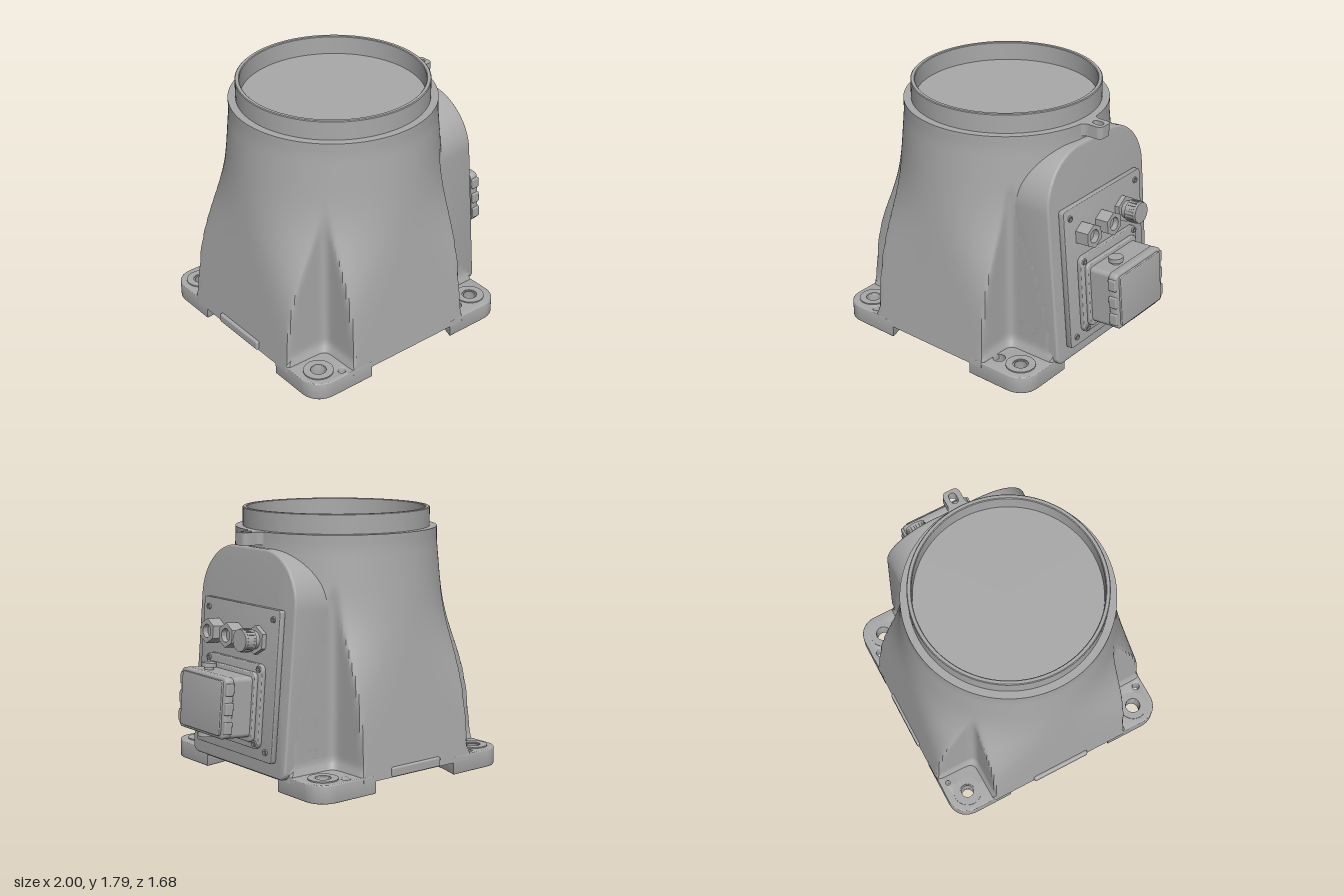
import * as THREE from 'three';
import { toCreasedNormals } from 'three/addons/utils/BufferGeometryUtils.js';
import { RoundedBoxGeometry } from 'three/addons/geometries/RoundedBoxGeometry.js';

const castGrey = new THREE.MeshStandardMaterial({ color: 0xa9a9a9 });
castGrey.name = 'cast grey';

const CX = -0.16; // axis of the tapered body

function add(parent, name, geometry, x = 0, y = 0, z = 0) {
  const mesh = new THREE.Mesh(geometry, castGrey);
  mesh.name = name;
  mesh.position.set(x, y, z);
  parent.add(mesh);
  return mesh;
}

function circleHole(x, y, r) {
  return new THREE.Path().absarc(x, y, r, 0, Math.PI * 2, true);
}

function extrude(shape, depth, bevel = 0) {
  const g = new THREE.ExtrudeGeometry(shape, {
    depth: depth - 2 * bevel, bevelEnabled: bevel > 0, bevelSize: bevel,
    bevelThickness: bevel, bevelOffset: -bevel, bevelSegments: 3, curveSegments: 20,
  });
  g.translate(0, 0, bevel);
  return toCreasedNormals(g, 0.6);
}

// Rectangle with separate bottom and top corner radii
function roundedRect(x0, y0, x1, y1, rb, rt = rb) {
  const s = new THREE.Shape();
  s.moveTo(x0 + rb, y0).lineTo(x1 - rb, y0);
  s.absarc(x1 - rb, y0 + rb, rb, -Math.PI / 2, 0);
  s.absarc(x1 - rt, y1 - rt, rt, 0, Math.PI / 2);
  s.absarc(x0 + rt, y1 - rt, rt, Math.PI / 2, Math.PI);
  s.absarc(x0 + rb, y0 + rb, rb, Math.PI, Math.PI * 1.5);
  return s;
}

// Plan shape (x, z) made into a slab whose top is at the given height
function slab(shape, top, height, bevel = 0) {
  return extrude(shape, height, bevel).rotateX(Math.PI / 2).translate(0, top, 0);
}

function smoothMin(a, b, k) {
  const h = Math.max(k - Math.abs(a - b), 0) / k;
  return Math.min(a, b) - h * h * k * 0.25;
}

// Square-to-round taper, with a pocket cut into each corner
function bodyRadius(angle, y) {
  const c = Math.cos(angle), s = Math.sin(angle);
  const drop = Math.max(0, 1.57 - y) / 1.45;
  const t = Math.min(1, Math.max(0, (y - 0.1) / 1.3));
  const n = 2 + 10 * (1 - t) ** 3;
  const ax = 0.69 + 0.13 * drop, az = 0.69 + 0.139 * drop;
  const outer = (Math.abs(c / ax) ** n + Math.abs(s / az) ** n) ** (-1 / n);
  const px = (c < 0 ? 0.49 : 0.45) / Math.max(Math.abs(c), 1e-3);
  const pz = 0.52 / Math.max(Math.abs(s), 1e-3);
  let pocket = -smoothMin(-px, -pz, 0.08);
  pocket += 8 * Math.max(0, 0.2 - Math.max(y, 0.125)) ** 2 + 0.3 * Math.max(0, y - 1.25);
  return smoothMin(outer, pocket, 0.02);
}

function bodyGeometry() {
  const seg = 288, rows = 44, y0 = 0.085, y1 = 1.66;
  const pos = [], index = [];
  for (let i = 0; i <= rows; i++) {
    const u = i / rows;
    const y = y0 + (y1 - y0) * (0.3 * u * u + 0.7 * u);
    for (let j = 0; j < seg; j++) {
      const a = (j / seg) * Math.PI * 2, r = bodyRadius(a, y);
      pos.push(CX + r * Math.cos(a), y, r * Math.sin(a));
    }
  }
  const bottom = pos.length / 3, top = bottom + 1, last = rows * seg;
  pos.push(CX, y0, 0, CX, y1, 0);
  for (let j = 0; j < seg; j++) {
    const k = (j + 1) % seg;
    for (let i = 0; i < rows; i++) {
      const a = i * seg + j, b = i * seg + k;
      index.push(a, a + seg, b, b, a + seg, b + seg);
    }
    index.push(bottom, j, k, top, last + k, last + j);
  }
  const g = new THREE.BufferGeometry();
  g.setAttribute('position', new THREE.Float32BufferAttribute(pos, 3));
  g.setIndex(index);
  return toCreasedNormals(g, 0.6);
}

function addFoot(root, sx, sz) {
  const cx = sx < 0 ? -0.98 : 0.66, cz = sz * 0.83;
  const p = (a, b) => [cx - sx * a, cz - sz * b];
  const s = new THREE.Shape();
  s.moveTo(...p(0.47, 0)).lineTo(...p(0.15, 0));
  s.bezierCurveTo(...p(0.06, 0), ...p(0, 0.06), ...p(0, 0.15));
  s.lineTo(...p(0, 0.43)).lineTo(...p(0.2, 0.4)).lineTo(...p(0.38, 0.34)).lineTo(...p(0.44, 0.1));
  const bx = sx < 0 ? -0.84 : 0.51, bz = sz * 0.68;
  s.holes.push(circleHole(bx, bz, 0.05));
  if (sx < 0) s.holes.push(circleHole(-0.72, sz * 0.775, 0.025));
  else if (sz < 0) s.holes.push(circleHole(0.39, -0.765, 0.03));
  else s.holes.push(circleHole(0.35, 0.71, 0.05));
  add(root, 'foot', slab(s, 0.125, 0.125, 0.008));
  const ring = new THREE.Shape().absarc(bx, bz, 0.1, 0, Math.PI * 2);
  ring.holes.push(circleHole(bx, bz, 0.052));
  add(root, 'footBoltSeat', slab(ring, 0.133, 0.012));
}

// Cylinder or prism pointing out of the panel
function peg(r, length, sides = 24, rTop = r) {
  const g = new THREE.CylinderGeometry(rTop, r, length, sides).rotateX(Math.PI / 2);
  return toCreasedNormals(g.translate(0, 0, length / 2), sides > 12 ? 0.6 : 0.1);
}

function hexShape(r) {
  const s = new THREE.Shape();
  for (let i = 0; i < 6; i++) {
    const a = Math.PI / 2 + (i * Math.PI) / 3;
    s[i ? 'lineTo' : 'moveTo'](r * Math.cos(a), r * Math.sin(a));
  }
  return s;
}

function addScrews(parent, xs, ys, z) {
  for (const x of xs) for (const y of ys) {
    const s = new THREE.Shape().absarc(0, 0, 0.021, 0, Math.PI * 2);
    s.holes.push(circleHole(0, 0, 0.012));
    add(parent, 'screw', extrude(s, 0.01), x, y, z);
  }
}

// Slanted connector face: local x across, y up the slope, z outward
function addConnectorSide(root) {
  const side = new THREE.Group();
  side.name = 'connectorSide';
  side.position.set(0.7, 0.1, 0);
  side.rotation.set(-0.0856, Math.PI / 2, 0, 'YXZ');
  root.add(side);

  add(side, 'archedBoss', extrude(roundedRect(-0.52, 0, 0.52, 1.465, 0.06, 0.36), 0.45, 0.015), 0, 0, -0.45);
  add(side, 'panel', extrude(roundedRect(-0.42, 0.1, 0.42, 1.095, 0.02), 0.042, 0.004));
  addScrews(side, [-0.358, 0.358], [0.165, 1.03], 0.042);
  add(side, 'boxMount', extrude(roundedRect(-0.31, 0.175, 0.31, 0.73, 0.045), 0.035, 0.006), 0, 0, 0.04);
  addScrews(side, [-0.278, 0.278], [0.21, 0.698], 0.075);

  // Connector box with overhanging lid
  add(side, 'boxCollar', extrude(roundedRect(-0.275, 0.215, 0.275, 0.675, 0.04), 0.03, 0.008), 0, 0, 0.07);
  add(side, 'boxHousing', new RoundedBoxGeometry(0.5, 0.4, 0.2, 3, 0.03), 0, 0.445, 0.17);
  add(side, 'boxLid', extrude(roundedRect(-0.255, 0.245, 0.255, 0.645, 0.035), 0.065, 0.012), 0, 0, 0.245);
  add(side, 'lidFace', extrude(roundedRect(-0.225, 0.265, 0.225, 0.625, 0.02), 0.02, 0.004), 0, 0, 0.302);
  for (const x of [-0.25, 0.25]) for (const y of [0.32, 0.445, 0.57]) {
    add(side, 'lidClip', new RoundedBoxGeometry(0.04, 0.08, 0.06, 2, 0.008), x, y, 0.28);
  }
  for (const [y, dir] of [[0.665, 1], [0.225, -1]]) {
    add(side, 'latchKnob', new THREE.CylinderGeometry(0.05, 0.05, 0.03, 24), -0.1, y + dir * 0.012, 0.2);
    add(side, 'latchNeck', new THREE.CylinderGeometry(0.032, 0.032, 0.06, 20), -0.1, y - dir * 0.015, 0.2);
  }

  // Two open hex glands and one capped connector
  for (const x of [-0.235, -0.02]) {
    const hex = hexShape(0.083);
    hex.holes.push(circleHole(0, 0, 0.045));
    add(side, 'hexGland', extrude(hex, 0.1), x, 0.88, 0.04);
    add(side, 'glandCore', peg(0.046, 0.06), x, 0.88, 0.04);
    add(side, 'glandPin', peg(0.01, 0.005, 16), x, 0.88, 0.1);
  }
  add(side, 'capNut', extrude(hexShape(0.095), 0.035), 0.21, 0.88, 0.04);
  add(side, 'capNeck', peg(0.06, 0.05), 0.21, 0.88, 0.07);
  add(side, 'cap', peg(0.075, 0.085, 32, 0.072), 0.21, 0.88, 0.11);
  for (let i = 0; i < 20; i++) {
    const a = (i / 20) * Math.PI * 2;
    add(side, 'capRib', new THREE.BoxGeometry(0.008, 0.008, 0.055),
      0.21 + 0.074 * Math.cos(a), 0.88 + 0.074 * Math.sin(a), 0.15).rotation.z = a;
  }
}

export function createModel() {
  const root = new THREE.Group();
  root.name = 'pedestal';
  add(root, 'body', bodyGeometry());
  for (const sx of [-1, 1]) for (const sz of [-1, 1]) addFoot(root, sx, sz);

  // Collar standing on the round top
  const profile = [[0.61, 1.65], [0.61, 1.785], [0.615, 1.79], [0.635, 1.79], [0.64, 1.785], [0.64, 1.65]];
  const collar = new THREE.LatheGeometry(profile.map(([r, y]) => new THREE.Vector2(r, y)).reverse(), 96);
  const collarMesh = add(root, 'collar', toCreasedNormals(collar, 0.5), CX);
  collarMesh.material = castGrey;
  castGrey.side = THREE.DoubleSide;

  // Slotted lug over the connector side
  const lug = new THREE.Shape();
  lug.moveTo(0.44, -0.14).lineTo(0.515, -0.1);
  lug.quadraticCurveTo(0.535, -0.06, 0.57, -0.06).lineTo(0.62, -0.06);
  lug.quadraticCurveTo(0.662, -0.06, 0.662, -0.02).lineTo(0.662, 0.02);
  lug.quadraticCurveTo(0.662, 0.06, 0.62, 0.06).lineTo(0.57, 0.06);
  lug.quadraticCurveTo(0.535, 0.06, 0.515, 0.1).lineTo(0.44, 0.14);
  const slot = new THREE.Path();
  slot.absarc(0.585, 0, 0.025, Math.PI / 2, Math.PI * 1.5);
  slot.absarc(0.615, 0, 0.025, -Math.PI / 2, Math.PI / 2);
  lug.holes.push(slot);
  add(root, 'lug', slab(lug, 1.66, 0.085));

  // Shallow pads at the foot of the left and back walls
  add(root, 'sidePad', new RoundedBoxGeometry(0.06, 0.065, 0.43, 2, 0.012), -0.97, 0.12, 0);
  add(root, 'backPad', new RoundedBoxGeometry(0.43, 0.065, 0.06, 2, 0.012), CX, 0.12, -0.815);

  addConnectorSide(root);
  return root;
}
